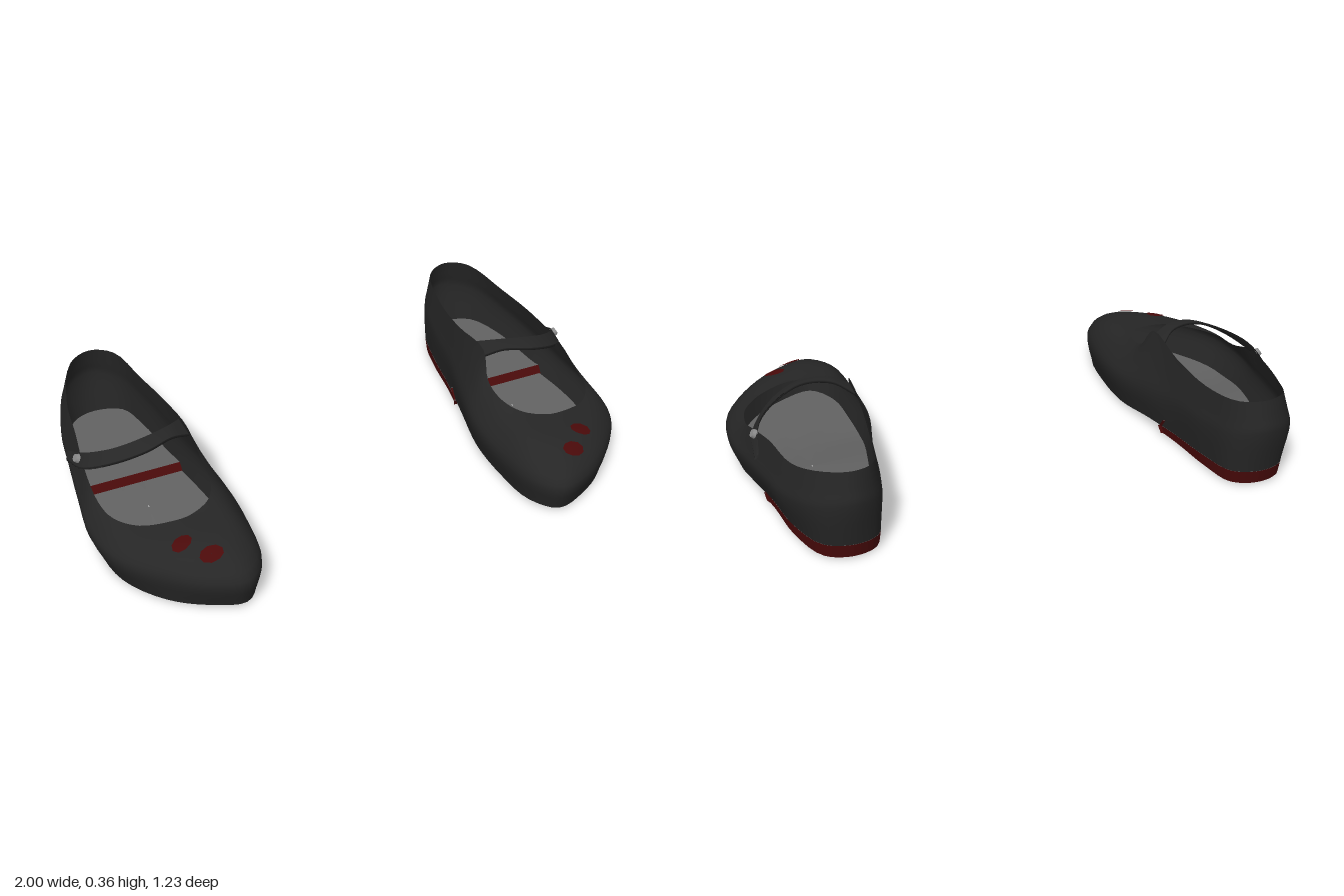
import * as THREE from 'three';

const mat = (name, color, side = THREE.FrontSide) => {
  const m = new THREE.MeshStandardMaterial({ color, side });
  m.name = name;
  return m;
};
const V = (x, y, z) => new THREE.Vector3(x, y, z);
const AROUND = 68;

// Height of the underside: toe spring, flat ball, raised shank and heel seat
const soleY = (z) => {
  const stops = [[-0.6, 0.065], [-0.12, 0.04], [0, 0.033], [0.2, 0.008], [0.4, 0.01], [0.62, 0.02]];
  for (let i = 1; i < stops.length; i++) {
    const [z0, y0] = stops[i - 1], [z1, y1] = stops[i];
    if (z <= z1) return y0 + (y1 - y0) * Math.max(0, (z - z0) / (z1 - z0));
  }
  return 0.02;
};

// Outlines, from the heel along the outer side to the toe and back
const soleLine = [
  [0.735, -0.585], [0.83, -0.55], [0.895, -0.38], [0.92, -0.18], [0.95, -0.02], [0.965, 0.13],
  [0.94, 0.30], [0.84, 0.46], [0.72, 0.55], [0.60, 0.59], [0.53, 0.50], [0.51, 0.33],
  [0.51, 0.14], [0.54, -0.04], [0.575, -0.22], [0.605, -0.42], [0.645, -0.55],
].map(([x, z]) => V(x, soleY(z), z));
const bulgeLine = [
  [0.735, 0.23, -0.615], [0.85, 0.21, -0.56], [0.925, 0.17, -0.38], [0.955, 0.15, -0.2],
  [0.98, 0.13, -0.03], [1.0, 0.12, 0.14], [0.97, 0.12, 0.32], [0.85, 0.13, 0.48],
  [0.72, 0.13, 0.58], [0.60, 0.13, 0.613], [0.52, 0.13, 0.53], [0.485, 0.12, 0.33],
  [0.485, 0.13, 0.14], [0.52, 0.15, -0.03], [0.56, 0.17, -0.2], [0.59, 0.19, -0.4], [0.64, 0.21, -0.56],
].map((p) => V(...p));
const rimLine = [
  [0.735, 0.345, -0.59], [0.82, 0.338, -0.55], [0.89, 0.295, -0.39], [0.92, 0.285, -0.2],
  [0.945, 0.25, -0.03], [0.945, 0.205, 0.1], [0.925, 0.2, 0.2], [0.86, 0.205, 0.28],
  [0.76, 0.22, 0.32], [0.69, 0.225, 0.32], [0.61, 0.235, 0.28], [0.57, 0.245, 0.2],
  [0.565, 0.27, 0.1], [0.58, 0.355, 0.03], [0.585, 0.335, -0.18], [0.61, 0.32, -0.38], [0.655, 0.338, -0.55],
].map((p) => V(...p));
// Ring that rounds the vamp between the bulge and the opening
const shoulderLine = bulgeLine.map((b, i) => {
  const r = rimLine[i];
  const p = b.clone().lerp(r, 0.4);
  p.y += 0.14 * Math.hypot(b.x - r.x, b.z - r.z);
  return p;
});

const ring = (points) => {
  const curve = new THREE.CatmullRomCurve3(points, true);
  return Array.from({ length: AROUND }, (_, i) => curve.getPoint(i / AROUND));
};

// Surface through rows of equally many points
function loft(rows, closed) {
  const n = rows[0].length, index = [];
  for (let r = 0; r < rows.length - 1; r++) {
    for (let i = 0; i < (closed ? n : n - 1); i++) {
      const a = r * n + i, b = r * n + (i + 1) % n;
      index.push(a, a + n, b, b, a + n, b + n);
    }
  }
  const g = new THREE.BufferGeometry().setFromPoints(rows.flat());
  g.setIndex(index);
  g.computeVertexNormals();
  return g;
}

const soleRing = ring(soleLine);

function upperGeometry() {
  const rings = [soleLine, bulgeLine, shoulderLine, rimLine].map(ring);
  const steps = 12, rows = Array.from({ length: steps + 1 }, () => []);
  for (let i = 0; i < AROUND; i++) {
    const curve = new THREE.CatmullRomCurve3(rings.map((r) => r[i]));
    rows.forEach((row, s) => row.push(curve.getPoint(s / steps)));
  }
  return loft(rows, true);
}

// Foot-shaped sheet that follows the underside
function soleSheet(lift, up) {
  const rows = [1, 0.8, 0.6, 0.4, 0.2, 0.01].map((k) => soleRing.map((p) => {
    const z = p.z * k;
    return V(0.735 + (p.x - 0.735) * k, Math.max(0.001, soleY(z) + lift), z);
  }));
  return loft(up ? rows : rows.reverse(), true);
}

// Heel-shaped block; ends are scaled and set to the given heights
function heelBlock(low, high, lowScale, highScale) {
  const pts = soleRing.filter((p) => p.z < -0.08)
    .map((p) => new THREE.Vector2(p.x, -Math.min(p.z, -0.12)));
  const g = new THREE.ExtrudeGeometry(new THREE.Shape(pts), { depth: 1, bevelEnabled: false });
  g.rotateX(-Math.PI / 2);
  const pos = g.attributes.position;
  for (let i = 0; i < pos.count; i++) {
    const top = pos.getY(i) > 0.5;
    const [sx, sz] = top ? highScale : lowScale;
    const z = -0.35 + (pos.getZ(i) + 0.35) * sz;
    pos.setXYZ(i, 0.75 + (pos.getX(i) - 0.75) * sx, (top ? high : low)(z), z);
  }
  g.computeVertexNormals();
  return g;
}

function strapGeometry() {
  const front = [[0.58, 0.335, 0.03], [0.65, 0.36, 0.055], [0.75, 0.35, 0.08], [0.86, 0.31, 0.045],
    [0.95, 0.25, -0.05], [0.97, 0.213, -0.17]];
  const back = [[0.583, 0.34, -0.06], [0.65, 0.368, 0], [0.75, 0.366, 0.025], [0.845, 0.335, 0],
    [0.927, 0.293, -0.07], [0.958, 0.232, -0.185]];
  const row = (pts, drop) => new THREE.CatmullRomCurve3(pts.map(([x, y, z]) => V(x, y - drop, z))).getPoints(24);
  return loft([row(front, 0), row(back, 0), row(back, 0.01), row(front, 0.01), row(front, 0)], false);
}

// Thin spot laid on the vamp
function spotGeometry(upper, x, z, rx, rz, turn) {
  const g = new THREE.RingGeometry(0.01, 1, 9, 3);
  g.rotateX(-Math.PI / 2).scale(rx, 1, rz).rotateY(turn).translate(x, 0, z);
  const ray = new THREE.Raycaster(), pos = g.attributes.position;
  const target = new THREE.Mesh(upper, new THREE.MeshBasicMaterial({ side: THREE.DoubleSide }));
  for (let i = 0; i < pos.count; i++) {
    ray.set(V(pos.getX(i), 1, pos.getZ(i)), V(0, -1, 0));
    const hit = ray.intersectObject(target)[0];
    pos.setY(i, (hit ? hit.point.y : 0.17) + 0.005);
  }
  g.computeVertexNormals();
  return g;
}

// Copy reflected in x with its faces turned back outward
function mirrored(geometry) {
  const g = geometry.clone().scale(-1, 1, 1);
  const idx = g.index ? Array.from(g.index.array) : Array.from({ length: g.attributes.position.count }, (_, i) => i);
  for (let i = 0; i < idx.length; i += 3) [idx[i + 1], idx[i + 2]] = [idx[i + 2], idx[i + 1]];
  g.setIndex(idx);
  return g;
}

export function createModel() {
  const black = mat('blackLeather', 0x262626, THREE.DoubleSide);
  const grey = mat('greySole', 0x626262);
  const red = mat('darkRed', 0x4a0a0a);
  const silver = mat('silverButton', 0x8c8c8c);

  const upper = upperGeometry();
  const button = new THREE.CylinderGeometry(0.014, 0.018, 0.016, 10);
  button.rotateZ(-Math.PI / 2 + 0.5).translate(0.953, 0.262, -0.092);
  const heelFront = new THREE.BoxGeometry(0.35, 0.028, 0.006).translate(0.745, 0.025, -0.121);

  const parts = [
    ['upper', upper, black],
    ['outsole', soleSheet(-0.002, false), grey],
    ['insole', soleSheet(0.01, true), grey],
    ['heel', heelBlock(() => 0.012, (z) => soleY(z), [0.97, 0.95], [1.004, 1.004]), [grey, red]],
    ['heelFront', heelFront, grey],
    ['heelPad', heelBlock((z) => soleY(z), (z) => soleY(z) + 0.035, [0.99, 0.98], [0.99, 0.86]), [grey, red]],
    ['strap', strapGeometry(), black],
    ['strapButton', button, silver],
    ['toeSpotFront', spotGeometry(upper, 0.69, 0.512, 0.042, 0.028, 0.1), red],
    ['toeSpotBack', spotGeometry(upper, 0.765, 0.432, 0.038, 0.028, -0.3), red],
  ];

  const model = new THREE.Group();
  model.name = 'shoes';
  for (const side of ['left', 'right']) {
    const shoe = new THREE.Group();
    shoe.name = side + 'Shoe';
    for (const [name, geometry, material] of parts) {
      const mesh = new THREE.Mesh(side === 'left' ? geometry : mirrored(geometry), material);
      mesh.name = name;
      shoe.add(mesh);
    }
    model.add(shoe);
  }
  return model;
}
